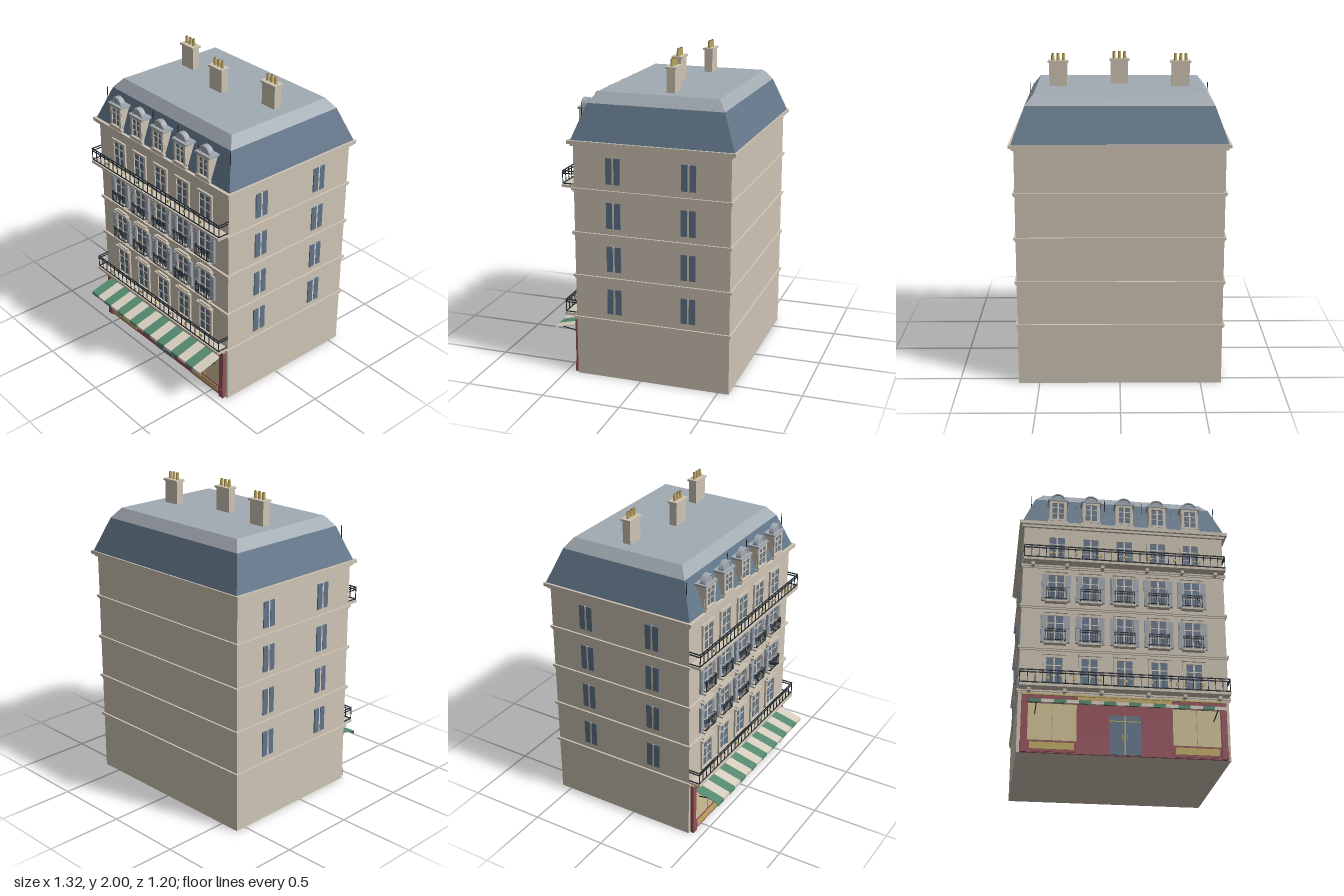
import * as THREE from 'three';

const mat = (name, color, side = THREE.FrontSide) => {
  const m = new THREE.MeshStandardMaterial({ color, side });
  m.name = name;
  return m;
};

export function createModel() {
  const M = {
    stone: mat('stone', 0xcfc5b5),
    slate: mat('slate', 0x64788b),
    zinc: mat('zinc', 0xa3abb3),
    glass: mat('glass', 0x61748a),
    iron: mat('iron', 0x262e33),
    red: mat('shop red', 0x97505b),
    green: mat('awning green', 0x568a70, THREE.DoubleSide),
    cream: mat('shop window cream', 0xd2c396),
    gold: mat('gold', 0xc4ad66),
    frame: mat('pale frame', 0xd8cfc0, THREE.DoubleSide),
  };
  const root = new THREE.Group();
  const group = (name, parent = root, x = 0, y = 0, z = 0) => {
    const g = new THREE.Group();
    g.name = name;
    g.position.set(x, y, z);
    parent.add(g);
    return g;
  };
  const add = (parent, name, geo, m, x = 0, y = 0, z = 0) => {
    const mesh = new THREE.Mesh(geo, m);
    mesh.name = name;
    mesh.position.set(x, y, z);
    parent.add(mesh);
    return mesh;
  };
  // Box given by its extents along each axis
  const box = (p, name, m, x0, x1, y0, y1, z0, z1) =>
    add(p, name, new THREE.BoxGeometry(x1 - x0, y1 - y0, z1 - z0), m,
      (x0 + x1) / 2, (y0 + y1) / 2, (z0 + z1) / 2);
  // Four-sided tapering solid between two rectangles [y, halfWidth, zBack, zFront]
  const frustum = (p, name, m, lo, hi) => {
    const geo = new THREE.BoxGeometry(1, 1, 1);
    const a = geo.attributes.position;
    for (let i = 0; i < a.count; i++) {
      const r = a.getY(i) < 0 ? lo : hi;
      a.setXYZ(i, Math.sign(a.getX(i)) * r[1], r[0], a.getZ(i) < 0 ? r[2] : r[3]);
    }
    geo.computeVertexNormals();
    return add(p, name, geo, m);
  };

  const F = 0.42, B = -0.57, W = 0.63, STEP = 0.2775;
  const columns = [-2, -1, 0, 1, 2].map(i => i * 0.2115);

  // Walls, string courses and cornice
  const walls = group('walls');
  box(walls, 'body', M.stone, -W, W, 0, 1.5, B, F);
  for (let i = 0; i < 4; i++) {
    const y = 0.372 + i * STEP;
    box(walls, 'stringCourse', M.stone, -0.642, 0.642, y + 0.004, y + 0.018, B - 0.012, F + 0.014);
    box(walls, 'stringCourseFoot', M.stone, -0.636, 0.636, y - 0.006, y + 0.004, B - 0.006, F + 0.007);
  }
  box(walls, 'corniceFoot', M.stone, -0.645, 0.645, 1.483, 1.498, B - 0.013, F + 0.015);
  box(walls, 'cornice', M.stone, -0.66, 0.66, 1.498, 1.52, -0.6, 0.45);

  // Mansard roof
  const roof = group('roof');
  const r1 = [1.52, 0.645, -0.59, 0.43], r2 = [1.735, 0.565, -0.507, 0.35], r3 = [1.8, 0.512, -0.457, 0.3];
  frustum(roof, 'slateSlope', M.slate, r1, r2);
  frustum(roof, 'zincTop', M.zinc, r2, r3);
  for (const s of [-1, 1]) for (const x of [0.12, 0.31, 0.59])
    box(roof, 'roofRod', M.iron, s * x - 0.002, s * x + 0.002, 1.6, x === 0.31 ? 1.68 : 1.74, 0.374, 0.378);

  // Frame, panes and bars of one casement window, base at the origin, facing +z
  const casement = (p, w, h, z) => {
    box(p, 'pane', M.glass, -w, w, 0, h, z, z + 0.004);
    box(p, 'centreBar', M.frame, -0.005, 0.005, 0, h, z, z + 0.008);
    box(p, 'transom', M.frame, -w, w, h * 0.7, h * 0.7 + 0.006, z, z + 0.007);
    box(p, 'lowerBar', M.frame, -w, w, h * 0.34, h * 0.34 + 0.004, z, z + 0.007);
  };
  const surround = (p, w, h, t, z0, z1) => {
    for (const s of [-1, 1]) box(p, 'jamb', M.stone, s * (w + t / 2) - t / 2, s * (w + t / 2) + t / 2, -0.01, h, z0, z1);
    box(p, 'head', M.stone, -w - t, w + t, h, h + t * 0.8, z0, z1);
    box(p, 'sill', M.stone, -w - t, w + t, -0.018, -0.004, z0, z1 + 0.006);
  };

  // Iron railing with returns to the wall
  const railing = (p, w, y, h, depth, n, t) => {
    const g = group('railing', p, 0, y, F);
    for (const v of [0, h * 0.8, h]) {
      box(g, 'rail', M.iron, -w, w, v - t, v + t, depth - 2 * t, depth);
      for (const s of [-1, 1]) box(g, 'sideRail', M.iron, s * (w - t) - t, s * (w - t) + t, v - t, v + t, 0, depth);
    }
    for (let i = 0; i <= n; i++) {
      const x = -w + t + (2 * (w - t) * i) / n;
      box(g, 'baluster', M.iron, x - t * 0.7, x + t * 0.7, 0, h, depth - 1.8 * t, depth - 0.2 * t);
    }
    return g;
  };

  // Front windows floor by floor
  for (let f = 0; f < 4; f++) {
    const y = 0.425 + f * STEP, middle = f === 1 || f === 2, h = f === 3 ? 0.158 : 0.172;
    for (const x of columns) {
      const g = group('frontWindow', root, x, y, 0);
      casement(g, 0.048, h, F);
      surround(g, 0.048, h, 0.02, F, F + 0.012);
      if (f < 3) {
        box(g, 'lintel', M.stone, -0.07, 0.07, h + 0.016, h + 0.028, F, F + 0.022);
        box(g, 'lintelCrown', M.stone, -0.052, 0.052, h + 0.028, h + 0.038, F, F + 0.015);
      }
      if (middle) {
        for (const s of [-1, 1]) {
          box(g, 'shutter', M.zinc, s * 0.071 - 0.018, s * 0.071 + 0.018, -0.005, h, F, F + 0.016);
          for (const v of [0.012, 0.09])
            box(g, 'shutterPanel', M.zinc, s * 0.071 - 0.012, s * 0.071 + 0.012, v, v + 0.066, F + 0.016, F + 0.019);
        }
        box(g, 'balconetSlab', M.stone, -0.068, 0.068, -0.02, -0.008, F, F + 0.036);
        railing(g, 0.063, 0.004, 0.07, 0.036, 8, 0.002);
      }
    }
  }

  // Full-width balconies
  for (const y of [0.39, 0.39 + 3 * STEP]) {
    const g = group('longBalcony');
    box(g, 'slab', M.stone, -0.63, 0.63, y - 0.004, y + 0.012, F, 0.5);
    for (const s of [-1, 1]) for (const x of [0.14, 0.36, 0.57])
      box(g, 'bracket', M.stone, s * x - 0.01, s * x + 0.01, y - 0.022, y - 0.004, F, 0.47);
    const r = railing(g, W, y + 0.02, 0.078, 0.076, 28, 0.0028);
    for (let i = -3; i <= 3; i++)
      box(r, 'railOrnament', M.gold, i * 0.154 - 0.009, i * 0.154 + 0.009, 0.022, 0.04, 0.069, 0.076);
  }

  // Side windows
  for (const s of [-1, 1]) for (let f = 0; f < 4; f++) for (const z of [0.165, -0.31]) {
    const g = group('sideWindow', root, s * W, 0.43 + f * STEP, z);
    g.rotation.y = s * Math.PI / 2;
    for (const k of [-1, 1]) box(g, 'sidePane', M.glass, k * 0.026 - 0.02, k * 0.026 + 0.02, 0, 0.162, -0.002, 0.007);
    box(g, 'sideMullion', M.frame, -0.006, 0.006, 0, 0.162, -0.002, 0.006);
  }

  // Dormers with arched zinc hoods
  for (const x of columns) {
    const g = group('dormer', root, x, 1.55, 0);
    box(g, 'dormerBody', M.stone, -0.055, 0.055, -0.025, 0.125, 0.36, 0.432);
    casement(g, 0.036, 0.11, 0.432);
    surround(g, 0.036, 0.112, 0.018, 0.432, 0.442);
    box(g, 'dormerFoot', M.stone, -0.062, 0.062, -0.03, -0.015, 0.4, 0.446);
    box(g, 'dormerCap', M.zinc, -0.065, 0.065, 0.127, 0.14, 0.366, 0.447);
    const lunette = add(g, 'dormerArch', new THREE.CylinderGeometry(0.05, 0.05, 0.03, 16, 1, false, Math.PI / 2, Math.PI), M.zinc, 0, 0.14, 0.412);
    lunette.rotation.x = Math.PI / 2;
    add(g, 'archMoulding', new THREE.TorusGeometry(0.043, 0.006, 6, 16, Math.PI), M.zinc, 0, 0.14, 0.427);
  }

  // Chimneys with pots
  for (const [x, z] of [[-0.378, -0.133], [0, -0.045], [0.378, -0.133]]) {
    const g = group('chimney', root, x, 0, z);
    box(g, 'stack', M.stone, -0.055, 0.055, 1.79, 1.945, -0.026, 0.026);
    box(g, 'chimneyCap', M.stone, -0.063, 0.063, 1.942, 1.955, -0.034, 0.034);
    for (const dx of [-0.033, 0, 0.033]) {
      add(g, 'pot', new THREE.CylinderGeometry(0.009, 0.011, 0.045, 10), M.gold, dx, 1.9765, 0);
      add(g, 'potMouth', new THREE.CylinderGeometry(0.005, 0.005, 0.001, 10), M.iron, dx, 1.9995, 0);
    }
  }

  // Shop front
  const shop = group('shopFront');
  box(shop, 'shopPanel', M.red, -0.61, 0.61, 0, 0.355, F, 0.432);
  box(shop, 'shopTopTrim', M.gold, -0.61, 0.61, 0.352, 0.36, F, 0.442);
  box(shop, 'signBoard', M.gold, -0.28, 0.28, 0.31, 0.35, 0.432, 0.441);
  for (const s of [-1, 1]) {
    const side = (name, m, a, b, ...r) => box(shop, name, m, Math.min(s * a, s * b), Math.max(s * a, s * b), ...r);
    side('pilaster', M.red, 0.575, 0.61, 0, 0.352, 0.432, 0.442);
    side('pilasterBase', M.red, 0.572, 0.613, 0, 0.06, 0.432, 0.446);
    side('displayWindow', M.cream, 0.285, 0.57, 0.075, 0.3, 0.432, 0.436);
    side('displayBar', M.gold, 0.426, 0.43, 0.075, 0.3, 0.436, 0.439);
    side('stallRiser', M.red, 0.285, 0.57, 0.005, 0.072, 0.432, 0.438);
    side('stallPanel', M.gold, 0.297, 0.558, 0.02, 0.062, 0.438, 0.442);
    side('doorLeaf', M.glass, 0.004, 0.095, 0.004, 0.245, 0.432, 0.437);
    side('doorHandle', M.gold, 0.012, 0.017, 0.09, 0.13, 0.437, 0.445);
  }
  box(shop, 'doorCentre', M.gold, -0.004, 0.004, 0.004, 0.245, 0.432, 0.44);
  box(shop, 'doorTransom', M.gold, -0.095, 0.095, 0.205, 0.211, 0.432, 0.44);

  // Striped awning with a short valance and folding arms
  const awning = group('awning');
  const sw = 1.152 / 16, dz = 0.165, dy = 0.04;
  for (let i = 0; i < 16; i++) {
    const x = -0.576 + sw * (i + 0.5), m = i % 2 ? M.frame : M.green;
    const sheet = add(awning, 'awningStripe', new THREE.BoxGeometry(sw, 0.003, Math.hypot(dz, dy)), m, x, 0.285, 0.435 + dz / 2);
    sheet.rotation.x = Math.atan2(dy, dz);
    box(awning, 'valanceStripe', m, x - sw / 2, x + sw / 2, 0.246, 0.266, 0.597, 0.6);
  }
  for (const x of [-0.53, 0.53]) {
    const arm = add(awning, 'awningArm', new THREE.BoxGeometry(0.005, 0.005, 0.165), M.iron, x, 0.249, 0.516);
    arm.rotation.x = -0.18;
  }
  return root;
}
